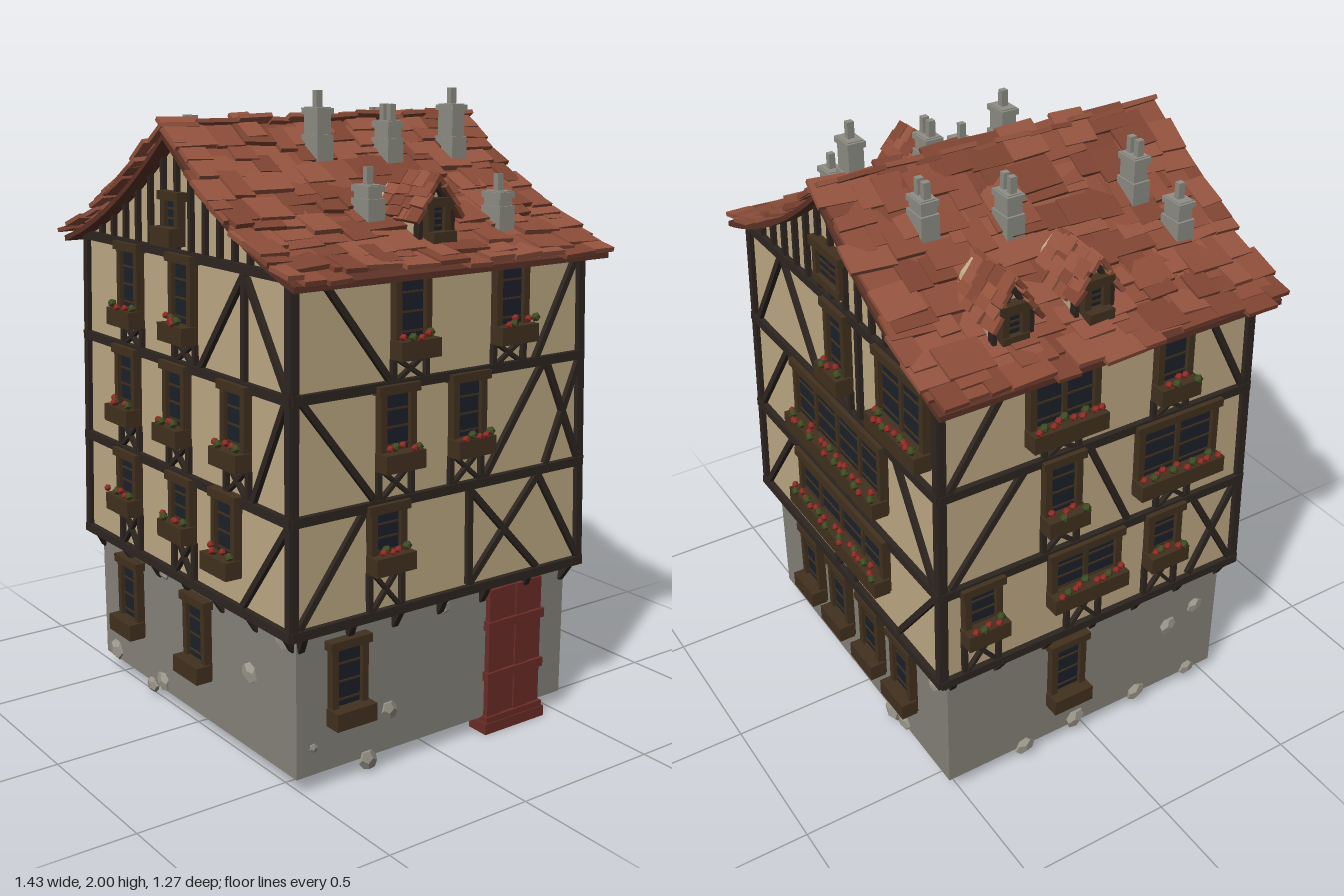
import * as THREE from 'three';
import { mergeGeometries } from 'three/addons/utils/BufferGeometryUtils.js';

const mat = (color) => new THREE.MeshStandardMaterial({ color, flatShading: true });
const M = {
  plaster: mat(0xbda983), stone: mat(0x86837a), rock: mat(0x9a968a), timber: mat(0x2e2520),
  frame: mat(0x42311f), glass: mat(0x1b2029), door: mat(0x6b2c27), chimney: mat(0x8f8f86),
  flower: mat(0x8f2a24), leaf: mat(0x3f4a22), deck: mat(0x5c3226),
};
const tileMats = [mat(0x8c4d39), mat(0x7f4432), mat(0x95543f)];
M.plaster.side = M.stone.side = M.deck.side = THREE.DoubleSide;

let seed = 7;
const rnd = (a = 0, b = 1) => {
  seed = (seed * 16807) % 2147483647;
  return a + (b - a) * (seed / 2147483647);
};

function add(parent, name, geo, material, x = 0, y = 0, z = 0) {
  const m = new THREE.Mesh(geo, material);
  m.name = name;
  m.position.set(x, y, z);
  parent.add(m);
  return m;
}
const box = (p, name, m, w, h, d, x, y, z) => add(p, name, new THREE.BoxGeometry(w, h, d), m, x, y, z);

// Four-sided open shell through rectangles [x0, x1, z0, z1, y]
function shell(rings) {
  const pos = [];
  const corner = ([x0, x1, z0, z1, y], i) => [[x0, y, z1], [x1, y, z1], [x1, y, z0], [x0, y, z0]][i % 4];
  for (let r = 0; r < rings.length - 1; r++) {
    for (let i = 0; i < 4; i++) {
      const a = corner(rings[r], i), b = corner(rings[r], i + 1);
      const c = corner(rings[r + 1], i + 1), d = corner(rings[r + 1], i);
      pos.push(...a, ...b, ...c, ...a, ...c, ...d);
    }
  }
  const g = new THREE.BufferGeometry();
  g.setAttribute('position', new THREE.Float32BufferAttribute(pos, 3));
  g.computeVertexNormals();
  return g;
}

// Wall frame: local x runs right as seen from outside, y is height, z is outward
function wall(parent, name, rotY, dist, tilt = 0, shift = 0) {
  const turn = new THREE.Group(), lean = new THREE.Group(), g = new THREE.Group();
  turn.name = name;
  turn.rotation.y = rotY;
  lean.position.set(shift, 0.5, dist);
  lean.rotation.x = -tilt;
  g.position.y = -0.5;
  parent.add(turn); turn.add(lean); lean.add(g);
  return g;
}

function beam(p, u1, y1, u2, y2, t = 0.02, name = 'timberBrace') {
  const m = box(p, name, M.timber, t, Math.hypot(u2 - u1, y2 - y1), 0.024, (u1 + u2) / 2, (y1 + y2) / 2, 0.004);
  m.rotation.z = -Math.atan2(u2 - u1, y2 - y1);
}
function cross(p, u1, u2, y1, y2, t) {
  beam(p, u1, y1, u2, y2, t);
  beam(p, u1, y2, u2, y1, t);
}

// Framed window with glazing bars, planter, flowers and small cross panel beneath
function windowUnit(p, u, yb, yt, w = 0.13, { planter = true, flowers = true, sub = 0 } = {}) {
  const g = new THREE.Group();
  g.name = 'window';
  g.position.set(u, yb, 0);
  p.add(g);
  const h = yt - yb, n = Math.max(1, Math.round(w / 0.14)), f = 0.022;
  box(g, 'glass', M.glass, w - f, h - f, 0.02, 0, h / 2, 0.004);
  for (const s of [-1, 1]) box(g, 'jamb', M.frame, f, h, 0.04, s * (w - f) / 2, h / 2, 0.008);
  box(g, 'lintel', M.frame, w + 0.02, 0.027, 0.05, 0, h - 0.013, 0.01);
  box(g, 'sill', M.frame, w, f, 0.045, 0, f / 2, 0.01);
  for (let i = 1; i < n; i++) box(g, 'mullion', M.frame, 0.016, h, 0.032, -w / 2 + (i * w) / n, h / 2, 0.006);
  for (let i = 1; i < 4; i++) box(g, 'glazingBar', M.frame, w - f, 0.006, 0.026, 0, 0.02 + (i * (h - 0.04)) / 4, 0.004);
  if (planter) {
    box(g, 'planter', M.frame, w + 0.015, 0.055, 0.055, 0, 0.028, 0.035);
    const count = flowers ? Math.round(w / 0.025) : 0;
    for (let i = 0; i < count; i++) {
      const blossom = i % 3 !== 1;
      const geo = new THREE.IcosahedronGeometry(blossom ? 0.012 : 0.015, 0);
      add(g, blossom ? 'blossom' : 'leaf', geo, blossom ? M.flower : M.leaf,
        -w / 2 + ((i + 0.5) * w) / count, 0.062 + rnd(0, 0.015), rnd(0.035, 0.07));
    }
  }
  if (sub) {
    cross(p, u - 0.05, u + 0.05, sub, yb, 0.012);
    for (const s of [-1, 1]) beam(p, u + s * 0.06, sub, u + s * 0.06, yb, 0.016, 'stud');
  }
}

// Concave roof profile: height and slope angle at distance x from the ridge
const roofY = (x) => 1.9 - 0.805 * x + 0.387 * x * x;
const roofAngle = (x) => Math.atan(-0.805 + 0.774 * x);

function tileBank() {
  const bank = tileMats.map(() => []);
  return {
    put(l, w, x, y, z, rx, ry, rz) {
      const g = new THREE.BoxGeometry(l, 0.014, w);
      g.applyMatrix4(new THREE.Matrix4().makeRotationFromEuler(new THREE.Euler(rx, ry, rz)).setPosition(x, y, z));
      bank[Math.floor(rnd(0, 2.999))].push(g);
    },
    flush: (p, name) => bank.forEach((b, i) => b.length && add(p, name, mergeGeometries(b), tileMats[i])),
  };
}

function buildRoof(root) {
  const outline = [];
  for (let i = -12; i <= 12; i++) outline.push([i * 0.056, roofY(Math.abs(i * 0.056)) - 0.018]);
  const s = new THREE.Shape();
  outline.forEach(([x, y], i) => (i ? s.lineTo(x, y) : s.moveTo(x, y)));
  outline.reverse().forEach(([x, y]) => s.lineTo(x, y - 0.018));
  add(root, 'roofDeck', new THREE.ExtrudeGeometry(s, { depth: 1.17, bevelEnabled: false }), M.deck, 0, 0, -0.59);
  const tiles = tileBank();
  for (const side of [-1, 1]) {
    for (let row = 0; row < 15; row++) {
      const x0 = 0.645 - row * 0.045;
      let z = -0.61 + rnd(0, 0.035);
      while (z < 0.56) {
        const w = Math.min(rnd(0.06, 0.15), 0.61 - z);
        const x = Math.max(0.018, x0 + rnd(-0.015, 0.015));
        tiles.put(rnd(0.085, 0.125), w, side * x, roofY(x) + rnd(-0.006, 0.012), z + w / 2,
          rnd(-0.06, 0.06), rnd(-0.04, 0.04), side * (roofAngle(x) + rnd(0.02, 0.12)));
        z += w * 0.97;
      }
    }
  }
  tiles.flush(root, 'roofTiles');
}

function buildDormer(root, side, z, planter) {
  const g = wall(root, 'dormer', side * Math.PI / 2, 0.53, 0, -side * z);
  const s = new THREE.Shape();
  [[-0.06, 1.56], [0.06, 1.56], [0.06, 1.65], [0.035, 1.71], [0, 1.745], [-0.035, 1.71], [-0.06, 1.65]]
    .forEach(([x, y], i) => (i ? s.lineTo(x, y) : s.moveTo(x, y)));
  add(g, 'dormerBody', new THREE.ExtrudeGeometry(s, { depth: 0.2, bevelEnabled: false }), M.plaster, 0, 0, -0.2);
  windowUnit(g, 0, 1.585, 1.705, 0.085, { planter: false });
  for (const k of [-1, 1]) {
    beam(g, k * 0.06, 1.57, k * 0.06, 1.65, 0.014, 'dormerPost');
    beam(g, k * 0.06, 1.65, 0, 1.745, 0.014, 'dormerRafter');
  }
  if (planter) box(g, 'planter', M.frame, 0.085, 0.04, 0.05, 0, 1.59, 0.03);
  const tiles = tileBank();
  for (const k of [-1, 1]) for (let r = 0; r < 4; r++) for (let i = 0; i < 4; i++)
    tiles.put(0.05, rnd(0.045, 0.065), k * (0.068 - r * 0.018), 1.658 + r * 0.03 + rnd(0, 0.012),
      0.005 - i * 0.05 + rnd(-0.01, 0.01), rnd(-0.1, 0.1), rnd(-0.08, 0.08), -k * 0.9);
  tiles.flush(g, 'dormerTiles');
}

function buildChimney(root, x, z, top, pipes) {
  const g = new THREE.Group(), y0 = roofY(Math.abs(x)) - 0.08, y1 = top - 0.05;
  g.name = 'chimney';
  g.position.set(x, 0, z);
  root.add(g);
  box(g, 'chimneyFoot', M.chimney, 0.085, 0.14, 0.06, 0, y0 + 0.07, 0);
  box(g, 'chimneyStack', M.chimney, 0.07, y1 - y0, 0.05, 0, (y0 + y1) / 2, 0);
  box(g, 'chimneyCap', M.chimney, 0.085, 0.018, 0.06, 0, y1 - 0.012, 0);
  for (let i = 0; i < pipes; i++) box(g, 'chimneyPot', M.chimney, 0.02, 0.06, 0.022, (i - (pipes - 1) / 2) * 0.036, top - 0.03, 0);
}

export function createModel() {
  const root = new THREE.Group();
  root.name = 'timberHouse';
  const H = Math.PI / 2, tilt = 0.0194;
  add(root, 'stoneBase', shell([[-0.587, 0.587, -0.535, 0.52, 0.05], [-0.587, 0.587, -0.535, 0.52, 0.5]]), M.stone);
  add(root, 'plasterWalls', shell([[-0.587, 0.587, -0.535, 0.52, 0.5], [-0.61, 0.61, -0.565, 0.55, 0.501],
    [-0.59, 0.59, -0.545, 0.53, 1.54]]), M.plaster);

  // Upper walls and ground walls: front, right, back, left
  const spec = [['front', 0, 0.55, 0.52, 0.61, 0], ['right', H, 0.61, 0.587, 0.557, 0.008],
    ['back', 2 * H, 0.565, 0.535, 0.61, 0], ['left', -H, 0.61, 0.587, 0.557, -0.008]];
  const up = {}, low = {};
  for (const [n, r, d, dLow, half, c] of spec) {
    const g = (up[n] = wall(root, n + 'UpperWall', r, d, tilt));
    low[n] = wall(root, n + 'GroundWall', r, dLow);
    for (const y of [0.512, 0.845, 1.19, 1.525]) {
      const hw = half - 0.02 * (y - 0.5) + 0.012;
      box(g, 'floorBeam', M.timber, 2 * hw, 0.028, 0.034, c, y, 0.002);
    }
    for (const s of [-1, 1]) beam(g, c + s * half, 0.5, c + s * (half - 0.02), 1.53, 0.026, 'cornerPost');
    for (let i = 0; i < 7; i++) {
      const k = box(low[n], 'joistBracket', M.timber, 0.02, 0.07, 0.022, c + (i / 3 - 1) * (half - 0.04), 0.48, 0.014);
      k.rotation.set(0.55, 0, rnd(-0.3, 0.3));
    }
  }

  // Gables with studs
  for (const n of ['front', 'back']) {
    const s = new THREE.Shape();
    s.moveTo(-0.59, 1.53);
    s.lineTo(0.59, 1.53);
    for (let i = 10; i >= -10; i--) s.lineTo(i * 0.059, roofY(Math.abs(i * 0.059)) - 0.03);
    add(up[n], 'gable', new THREE.ShapeGeometry(s), M.plaster);
    for (let i = -6; i <= 6; i++) beam(up[n], i * 0.08, 1.53, i * 0.08, roofY(Math.abs(i * 0.08)) - 0.03, 0.016, 'gableStud');
  }

  // Windows per storey: [centre, width]; floor data: [bottom, top, cross panel base]
  const floors = [[0.195, 0.46, 0], [0.645, 0.85, 0.525], [0.945, 1.195, 0.86], [1.265, 1.53, 1.2]];
  const layout = {
    front: [[[-0.37], [0.06]], [[-0.31], [0.03]], [[-0.31], [0], [0.335]], [[-0.285], [0.04]]],
    right: [[[-0.345]], [[-0.22]], [[-0.185], [0.085]], [[-0.13], [0.25]]],
    back: [[[-0.31], [-0.1], [0.12], [0.33]], [[0.01, 0.58]], [[0.01, 0.58]], [[0.03], [0.42, 0.27]]],
    left: [[[-0.1]], [[-0.43], [-0.06, 0.26], [0.24]], [[-0.15], [0.27, 0.3]], [[-0.15, 0.24], [0.24]]],
  };
  for (const n in layout) layout[n].forEach((list, f) => list.forEach(([u, w = 0.13]) => {
    const [yb, yt, sub] = floors[f];
    windowUnit(f ? up[n] : low[n], u, yb, yt, w, { flowers: f > 0, sub });
  }));
  windowUnit(up.front, 0.285, 0.61, 0.86);
  windowUnit(up.front, -0.015, 1.55, 1.71, 0.1, { flowers: false });
  windowUnit(up.back, 0, 1.575, 1.71, 0.17, { planter: false });

  // Diagonal braces and posts [u1, y1, u2, y2]
  const braces = {
    front: [[0.13, 1.2, 0.37, 1.51], [0.37, 1.2, 0.37, 1.51], [0.38, 1.5, 0.59, 1.2], [0.42, 0.86, 0.58, 1.18], [0.37, 0.53, 0.6, 0.83]],
    right: [[-0.435, 1.51, -0.2, 1.2], [0.36, 1.2, 0.53, 1.51], [-0.51, 1.18, -0.26, 0.86], [0.16, 0.86, 0.39, 1.18],
      [0.41, 0.86, 0.55, 1.18], [0.41, 1.18, 0.55, 0.86], [-0.53, 0.53, -0.3, 0.83], [0.1, 0.53, 0.1, 0.83],
      [0.1, 0.53, 0.38, 0.83], [0.1, 0.83, 0.38, 0.53], [0.38, 0.83, 0.56, 0.53]],
    back: [[-0.56, 1.2, -0.36, 1.51], [-0.34, 1.51, -0.12, 1.2], [-0.58, 0.86, -0.35, 1.18], [0.36, 1.18, 0.58, 0.86],
      [-0.58, 0.53, -0.36, 0.83], [0.36, 0.53, 0.59, 0.83], [0.15, 1.2, 0.15, 1.51]],
    left: [[-0.53, 1.2, -0.32, 1.51], [0.36, 1.51, 0.52, 1.2], [-0.53, 0.86, -0.28, 1.18], [-0.05, 1.18, 0.1, 0.86],
      [0.36, 0.53, 0.53, 0.83], [0.36, 0.83, 0.53, 0.53]],
  };
  for (const n in braces) braces[n].forEach((b) => beam(up[n], ...b));

  // Plank door with battens
  for (let i = 0; i < 4; i++) box(low.right, 'doorPlank', M.door, 0.054, 0.48, 0.03, 0.23 + i * 0.056, 0.24, i % 2 ? 0 : 0.004);
  for (const y of [0.04, 0.19, 0.36]) box(low.right, 'doorBatten', M.door, 0.235, 0.03, 0.045, 0.313, y, 0.004);
  box(low.right, 'doorStep', M.door, 0.25, 0.035, 0.08, 0.313, 0.018, -0.01);

  // Loose stones set in the base [u, y, radius]
  const rocks = {
    front: [[-0.51, 0.08, 0.04], [-0.26, 0.04, 0.03], [-0.185, 0.08, 0.035], [0.345, 0.3, 0.037], [-0.16, 0.47, 0.03], [0.52, 0.465, 0.032]],
    right: [[-0.18, 0.18, 0.032], [-0.26, 0.04, 0.035], [-0.46, 0.135, 0.016], [0.03, 0.46, 0.025]],
    back: [[-0.04, 0.1, 0.04], [0.06, 0.12, 0.038], [0.22, 0.05, 0.042], [0.3, 0.07, 0.036], [0.28, 0.12, 0.03], [0.5, 0.4, 0.025]],
    left: [[-0.25, 0.05, 0.035], [-0.05, 0.07, 0.037], [0.2, 0.06, 0.035], [0.32, 0.3, 0.034], [0.43, 0.34, 0.03], [0.42, 0.06, 0.03]],
  };
  for (const n in rocks) for (const [u, y, r] of rocks[n]) {
    const m = add(low[n], 'stone', new THREE.DodecahedronGeometry(r, 0), M.rock, u, y, 0);
    m.scale.set(1.1, 0.9, 0.5);
    m.rotation.z = rnd(-1, 1);
  }

  buildRoof(root);
  buildDormer(root, 1, -0.01, true);
  buildDormer(root, -1, -0.01, true);
  buildDormer(root, -1, -0.28, false);
  [[-0.17, -0.34, 1.93, 2], [0.15, -0.395, 2.0, 1], [0.485, -0.3, 1.755, 1], [-0.23, -0.095, 1.91, 2], [0.145, -0.14, 1.955, 2],
    [0.12, 0.11, 2.0, 1], [0.4, 0.13, 1.79, 1], [-0.235, 0.345, 1.92, 2], [-0.38, 0.405, 1.82, 1]]
    .forEach((c) => buildChimney(root, ...c));
  return root;
}
